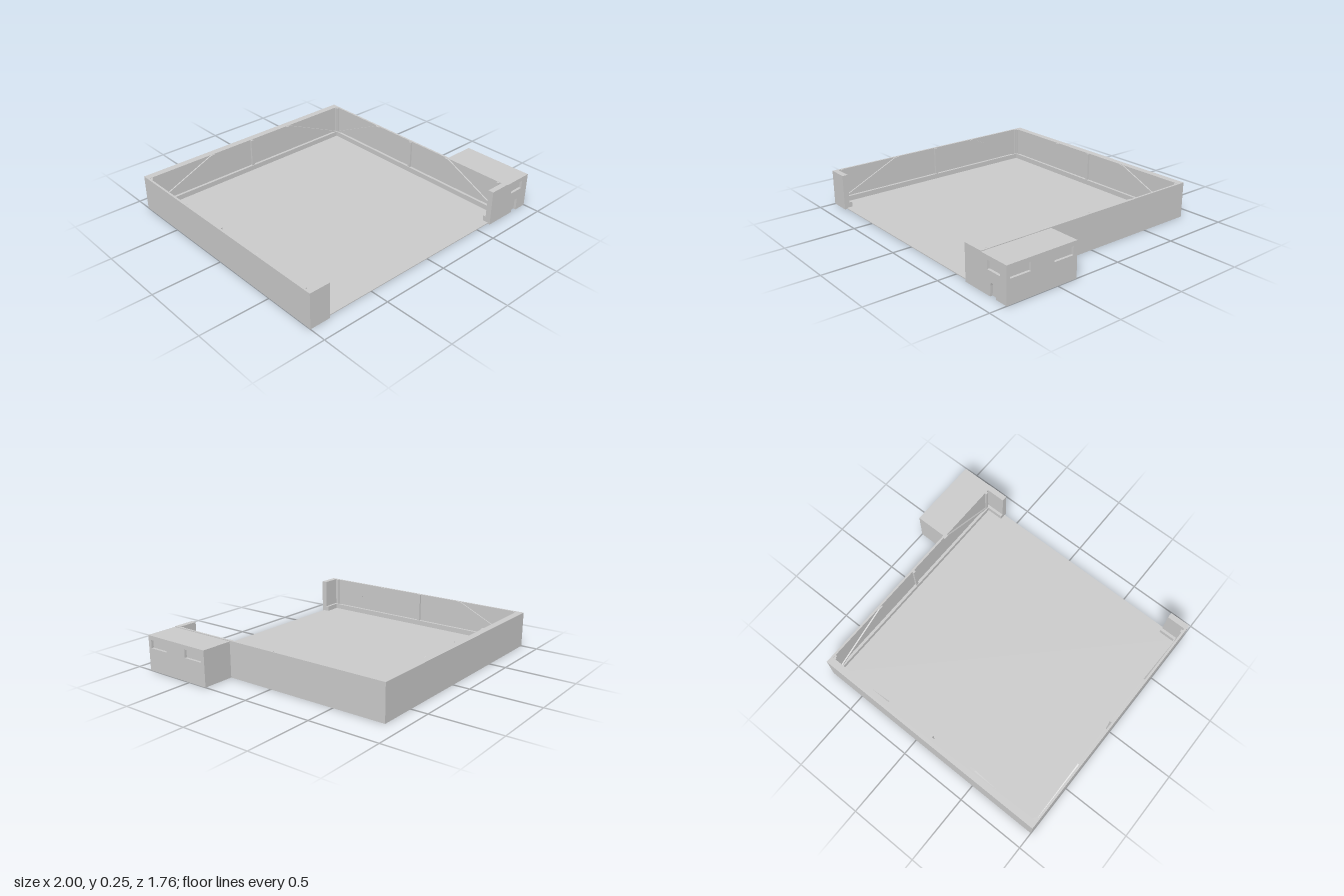
import * as THREE from 'three';

const mat = new THREE.MeshStandardMaterial({ color: 0xcccccc, flatShading: true });
const H = 0.255;

// Box given by its minimum and maximum corners
function box(name, x0, x1, y0, y1, z0, z1) {
  const m = new THREE.Mesh(new THREE.BoxGeometry(x1 - x0, y1 - y0, z1 - z0), mat);
  m.name = name;
  m.position.set((x0 + x1) / 2, (y0 + y1) / 2, (z0 + z1) / 2);
  return m;
}

function polygon(points) {
  return new THREE.Shape(points.map(([x, y]) => new THREE.Vector2(x, y)));
}

function slab(name, shape, depth) {
  const m = new THREE.Mesh(new THREE.ExtrudeGeometry(shape, { depth, bevelEnabled: false }), mat);
  m.name = name;
  return m;
}

// Timber framing on a wall; the wall face is z = 0 and the frame sticks out to +z
function framing(name, half) {
  const g = new THREE.Group();
  g.name = name;
  g.add(box('skirtingRail', -half, half, 0, 0.045, 0, 0.02));
  g.add(box('middlePost', -0.01, 0.01, 0.045, H - 0.002, 0, 0.015));
  for (const s of [-1, 1]) {
    const e = half - 0.01;
    g.add(box('cornerPost', s * e - 0.01, s * e + 0.01, 0.045, H - 0.002, 0, 0.012));
    const pts = [[e, 0.03], [e, 0.043], [0.37, H - 0.002], [0.335, H - 0.002]];
    g.add(slab('diagonalBrace', polygon(pts.map(([x, y]) => [s * x, y])), 0.01));
  }
  return g;
}

// Wall with rectangular openings, each backed by a recessed pane
function hutWall(name, x0, x1, openings) {
  const g = new THREE.Group();
  g.name = name;
  const outline = [[x0, 0]];
  for (const o of openings.filter((o) => o.door)) {
    outline.push([o.x0 - 0.004, 0], [o.x0, 0.07], [o.x0 + 0.004, 0.09], [o.x1, 0.09], [o.x1, 0]);
  }
  outline.push([x1, 0], [x1, 0.25], [x0, 0.25]);
  const shape = polygon(outline);
  for (const o of openings.filter((o) => !o.door)) {
    shape.holes.push(polygon([[o.x0, 0.162], [o.x0, 0.22], [o.x1, 0.22], [o.x1, 0.162]]));
  }
  const wall = slab('wallPanel', shape, 0.02);
  wall.position.z = -0.02;
  g.add(wall);
  for (const o of openings) {
    g.add(o.door
      ? box('door', o.x0 - 0.005, o.x1 + 0.003, 0, 0.093, -0.026, -0.018)
      : box('windowPane', o.x0 - 0.003, o.x1 + 0.003, 0.159, 0.223, -0.026, -0.018));
  }
  return g;
}

export function createModel() {
  const model = new THREE.Group();
  model.name = 'walledYard';

  // Ground slab
  model.add(box('floor', -0.995, 0.765, 0.002, 0.008, -0.875, 0.865));

  // Walls
  model.add(box('backWall', -1, 0.77, 0, H, -0.88, -0.83));
  model.add(box('leftWall', -1, -0.985, 0, H, -0.83, 0.88));
  model.add(box('rightWall', 0.755, 0.77, 0, H, -0.83, 0.88));
  model.add(box('frontLeftStub', -0.985, -0.85, 0, H, 0.84, 0.88));
  model.add(box('frontRightStub', 0.615, 0.755, 0, H, 0.84, 0.88));
  model.add(box('frontLeftRail', -0.985, -0.85, 0, 0.045, 0.82, 0.84));
  model.add(box('frontRightRail', 0.615, 0.755, 0, 0.045, 0.82, 0.84));

  // Framing on the inside of the three long walls
  const back = framing('backFraming', 0.87);
  back.position.set(-0.115, 0, -0.83);
  const left = framing('leftFraming', 0.825);
  left.position.set(-0.985, 0, 0);
  left.rotation.y = Math.PI / 2;
  const right = framing('rightFraming', 0.825);
  right.position.set(0.755, 0, 0);
  right.rotation.y = -Math.PI / 2;
  model.add(back, left, right);

  // Gatehouse, open underneath
  const hut = new THREE.Group();
  hut.name = 'gatehouse';
  const front = hutWall('gatehouseFront', 0.77, 1, [
    { x0: 0.855, x1: 0.905, door: true },
    { x0: 0.825, x1: 0.94 },
  ]);
  front.position.z = 0.88;
  // local x runs towards -z on the side wall
  const side = hutWall('gatehouseSide', -0.86, -0.35, [
    { x0: -0.855, x1: -0.705 },
    { x0: -0.53, x1: -0.38 },
  ]);
  side.rotation.y = Math.PI / 2;
  side.position.x = 1;
  hut.add(front, side);
  hut.add(box('gatehouseBack', 0.77, 0.98, 0, 0.25, 0.35, 0.37));
  hut.add(box('gatehouseRoof', 0.77, 0.98, 0.235, 0.25, 0.37, 0.86));

  // Brace and post on the yard wall inside the gatehouse
  const brace = slab('gatehouseBrace', polygon([[-0.8, 0.05], [-0.8, 0.063], [-0.39, 0.235], [-0.42, 0.235]]), 0.008);
  brace.rotation.y = Math.PI / 2;
  brace.position.x = 0.77;
  hut.add(brace, box('gatehousePost', 0.77, 0.78, 0, 0.235, 0.8, 0.82));
  model.add(hut);

  return model;
}
